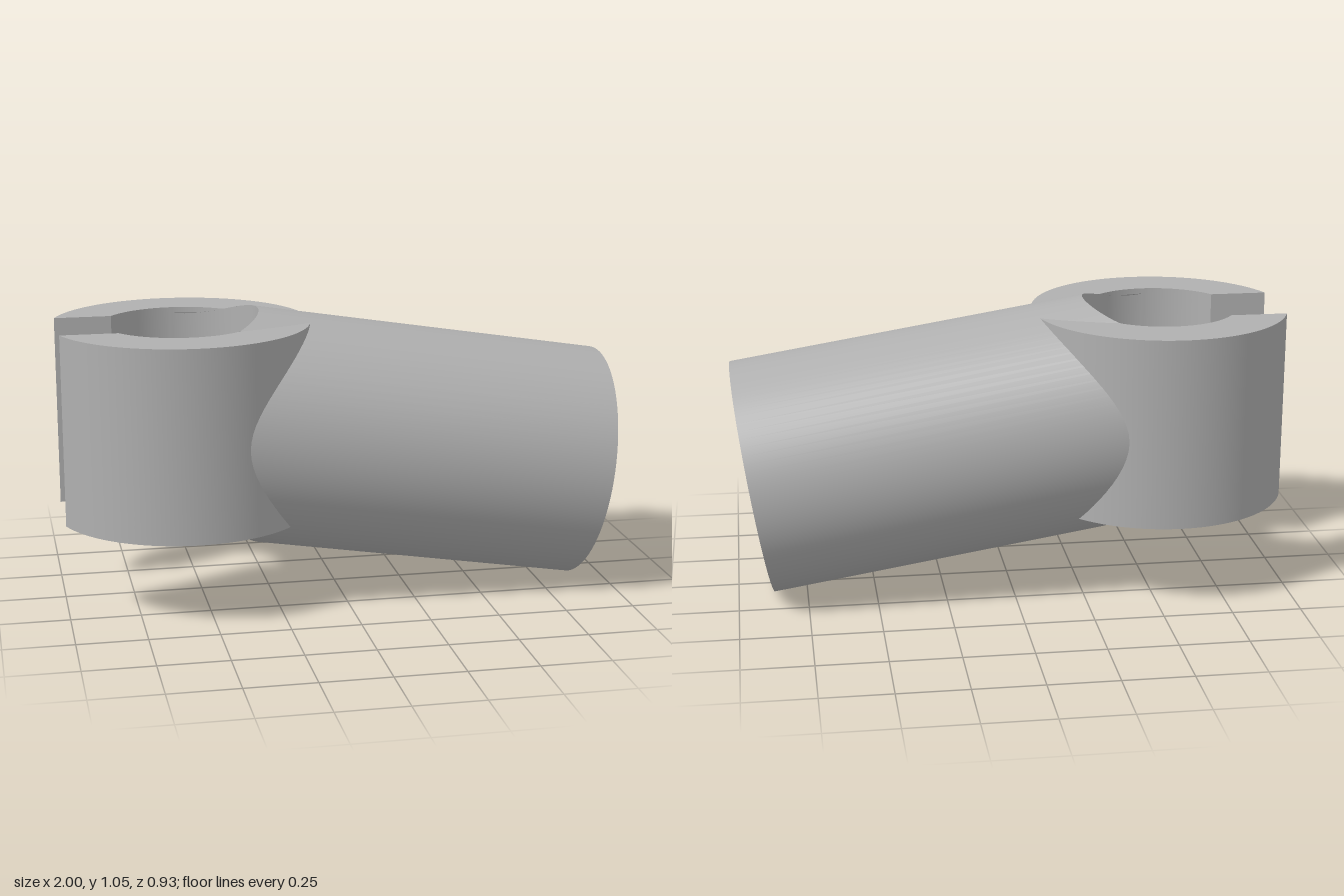
import * as THREE from 'three';
import { toCreasedNormals } from 'three/addons/utils/BufferGeometryUtils.js';

// Clamp ring
const CX = -0.56, OUTER = 0.465, INNER = 0.28, SLOT = 0.155, LOW = 0.32, HIGH = 1.01;
// Tilted rod: radius, slope and centre of its free end
const R = 0.427, TILT = Math.atan(0.16), END = new THREE.Vector3(0.932, 0.425, 0);
const AXIS = new THREE.Vector3(Math.cos(TILT), -Math.sin(TILT), 0);
const UP = new THREE.Vector3(Math.sin(TILT), Math.cos(TILT), 0);

// Surface between two rows of points
function strip(a, b, closed = false) {
  const n = a.length, index = [];
  for (let i = 0; i < (closed ? n : n - 1); i++) {
    const j = (i + 1) % n;
    index.push(i, j, n + i, n + i, j, n + j);
  }
  const geometry = new THREE.BufferGeometry().setFromPoints([...a, ...b]);
  geometry.setIndex(index);
  geometry.computeVertexNormals();
  return geometry;
}

// Angles from t0 to t1, end excluded
const span = (t0, t1, n) => Array.from({ length: n }, (_, i) => t0 + (t1 - t0) * i / n);

// Rim of the free end, and the matching point where the rod meets the bore
const rim = t => END.clone().addScaledVector(UP, R * Math.cos(t)).setZ(R * Math.sin(t));
function root(t) {
  const p = rim(t);
  const x = CX + Math.sqrt(Math.max(0, INNER * INNER - p.z * p.z));
  return p.addScaledVector(AXIS, (x - p.x) / AXIS.x);
}

export function createModel() {
  const group = new THREE.Group();
  const grey = new THREE.MeshStandardMaterial({ color: 0xb0b0b0, side: THREE.DoubleSide });
  grey.name = 'grey';
  const add = (name, geometry) => {
    const mesh = new THREE.Mesh(geometry, grey);
    mesh.name = name;
    group.add(mesh);
    return mesh;
  };

  // Slotted ring, open towards -x
  const o = Math.PI - Math.asin(SLOT / OUTER), i = Math.PI - Math.asin(SLOT / INNER);
  const shape = new THREE.Shape();
  shape.absarc(0, 0, OUTER, -o, o, false);
  shape.absarc(0, 0, INNER, i, -i, true);
  const ring = new THREE.ExtrudeGeometry(shape, { depth: HIGH - LOW, bevelEnabled: false, curveSegments: 64 });
  ring.rotateX(-Math.PI / 2);
  add('clampRing', toCreasedNormals(ring, 0.4)).position.set(CX, LOW, 0);

  // Rod, cut at its inner end by the bore of the ring
  const T = Math.asin(INNER / R), PI = Math.PI;
  const angles = [...span(-T, T, 24), ...span(T, PI - T, 24), ...span(PI - T, PI + T, 24), ...span(PI + T, 2 * PI - T, 24)];
  const rims = angles.map(rim);
  add('rod', strip(angles.map(root), rims, true));
  add('rodEnd', strip(rims, rims.map(() => END.clone()), true));

  // Bore wall where the rod reaches above and below the ring
  const arc = [...span(-T, T, 48), T];
  const top = arc.map(root), bottom = arc.map(t => root(PI - t));
  const atY = (points, f) => points.map(p => p.clone().setY(f(p.y)));
  add('upperBoreWall', strip(atY(top, () => HIGH), atY(top, y => Math.max(HIGH, y))));
  add('lowerBoreWall', strip(atY(bottom, y => Math.min(LOW, y)), atY(bottom, () => LOW)));

  return group;
}
